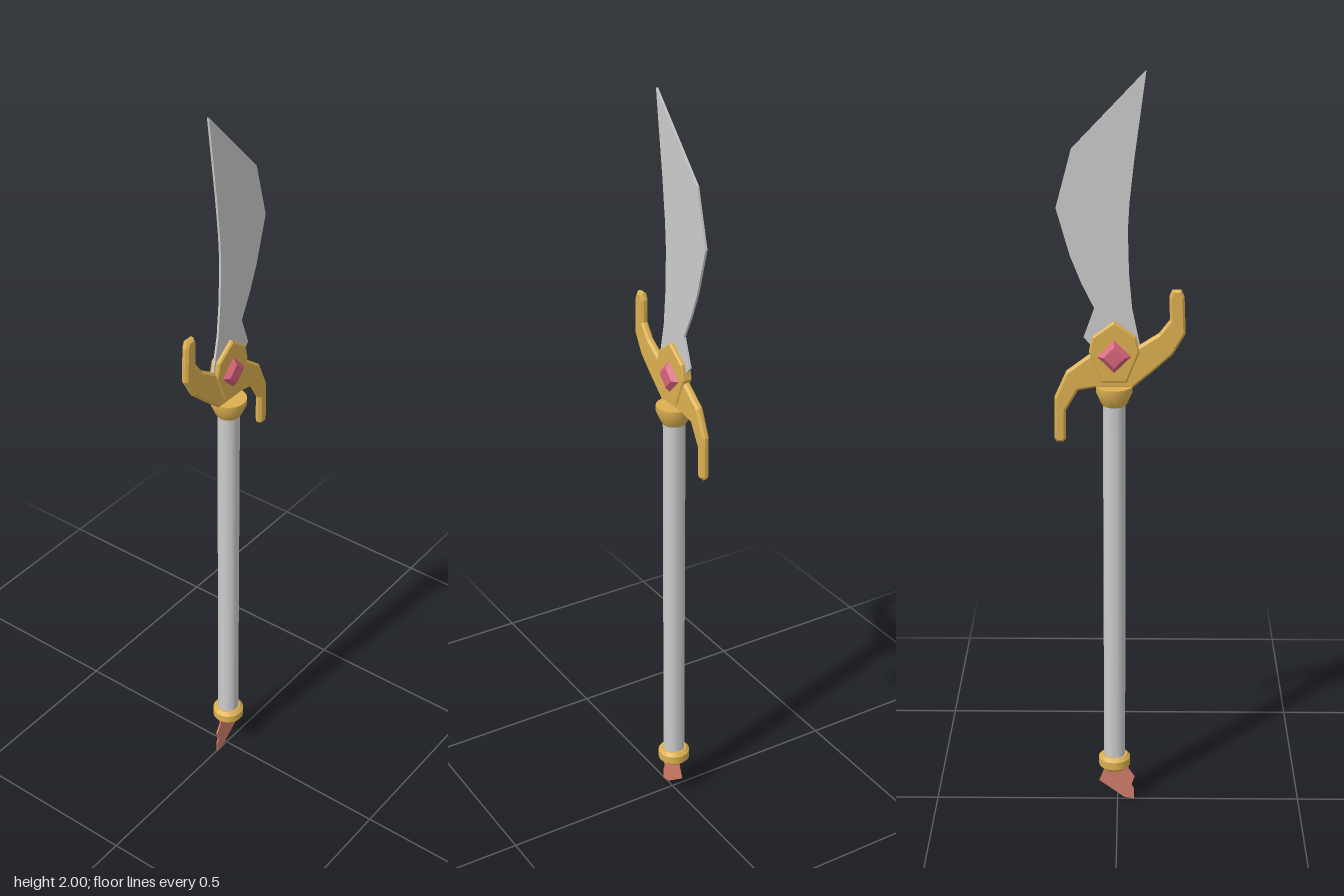
import * as THREE from 'three';
import { toCreasedNormals } from 'three/addons/utils/BufferGeometryUtils.js';

const AXIS_Z = -0.008; // the shaft sits slightly off centre

const paint = (color) => new THREE.MeshStandardMaterial({ color });
const grey = paint(0xcccccc);
const gold = paint(0xdcb050);
const pink = paint(0xd8647c);
const red = paint(0xd27c68);

// Flat part in the y-z plane, from [z, y] corners, with chamfered edges
function slab(name, corners, halfThickness, bevel, material) {
  const shape = new THREE.Shape(corners.map(([z, y]) => new THREE.Vector2(-z, y)));
  const depth = 2 * (halfThickness - bevel);
  const geometry = new THREE.ExtrudeGeometry(shape, {
    depth, bevelEnabled: bevel > 0, bevelThickness: bevel,
    bevelSize: bevel, bevelOffset: -bevel, bevelSegments: 1,
  });
  geometry.translate(0, 0, -depth / 2);
  geometry.rotateY(Math.PI / 2);
  const mesh = new THREE.Mesh(geometry, material);
  mesh.name = name;
  return mesh;
}

// Turned part around the shaft axis, from [radius, y] points, bottom to top
function turned(name, profile, segments, material) {
  const points = profile.map(([r, y]) => new THREE.Vector2(r, y));
  const geometry = toCreasedNormals(new THREE.LatheGeometry(points, segments), 0.5);
  const mesh = new THREE.Mesh(geometry, material);
  mesh.name = name;
  mesh.position.z = AXIS_Z;
  return mesh;
}

export function createModel() {
  const model = new THREE.Group();
  model.name = 'bladedStaff';

  // Curved blade with a notch above the guard
  model.add(slab('blade', [
    [0.07, 2], [0.042, 1.79], [0.03, 1.68], [0.026, 1.61], [0.029, 1.5], [0.037, 1.41],
    [0.058, 1.31], [0.03, 1.25], [-0.04, 1.25], [-0.055, 1.3], [-0.085, 1.335],
    [-0.058, 1.41], [-0.09, 1.475], [-0.118, 1.545], [-0.152, 1.665], [-0.113, 1.81],
  ], 0.003, 0, grey));

  // Guard with one arm hooked up and the other hooked down
  model.add(slab('guard', [
    [0.168, 1.44], [0.172, 1.345], [0.14, 1.29], [0.09, 1.245], [0.04, 1.203],
    [-0.055, 1.203], [-0.1, 1.195], [-0.132, 1.14], [-0.133, 1.062], [-0.14, 1.056],
    [-0.155, 1.056], [-0.162, 1.065], [-0.161, 1.175], [-0.13, 1.245], [-0.07, 1.29],
    [0.05, 1.31], [0.105, 1.345], [0.132, 1.38], [0.13, 1.44], [0.137, 1.458], [0.16, 1.458],
  ], 0.01, 0.006, gold));

  // Raised medallion holding the gem
  model.add(slab('medallion', [
    [-0.008, 1.378], [0.047, 1.338], [0.056, 1.298], [0.024, 1.218],
    [-0.04, 1.218], [-0.072, 1.298], [-0.063, 1.338],
  ], 0.014, 0.004, gold));

  // Diamond gem showing on both faces
  const gem = turned('gem', [
    [0, -0.026], [0.027, -0.026], [0.043, -0.014], [0.043, 0.014], [0.027, 0.026], [0, 0.026],
  ], 4, pink);
  gem.geometry.rotateZ(Math.PI / 2);
  gem.position.y = 1.287;
  model.add(gem);

  // Shaft with a flared collar above and a ring below
  model.add(turned('shaft', [[0, 0.12], [0.029, 0.12], [0.029, 1.18], [0, 1.18]], 24, grey));
  model.add(turned('collar', [
    [0, 1.155], [0.03, 1.155], [0.035, 1.163], [0.047, 1.19], [0.047, 1.206], [0, 1.206],
  ], 24, gold));
  model.add(turned('buttRing', [
    [0, 0.104], [0.034, 0.104], [0.043, 0.113], [0.043, 0.135], [0.034, 0.144], [0, 0.144],
  ], 24, gold));

  // Ragged tassel under the ring
  model.add(slab('tassel', [
    [0.03, 0.12], [0.03, 0.095], [0.047, 0.07], [0.039, 0.045], [0.046, 0.03],
    [0.045, 0], [0.018, 0.006], [-0.05, 0.058], [-0.038, 0.09], [-0.036, 0.12],
  ], 0.002, 0, red));

  return model;
}
